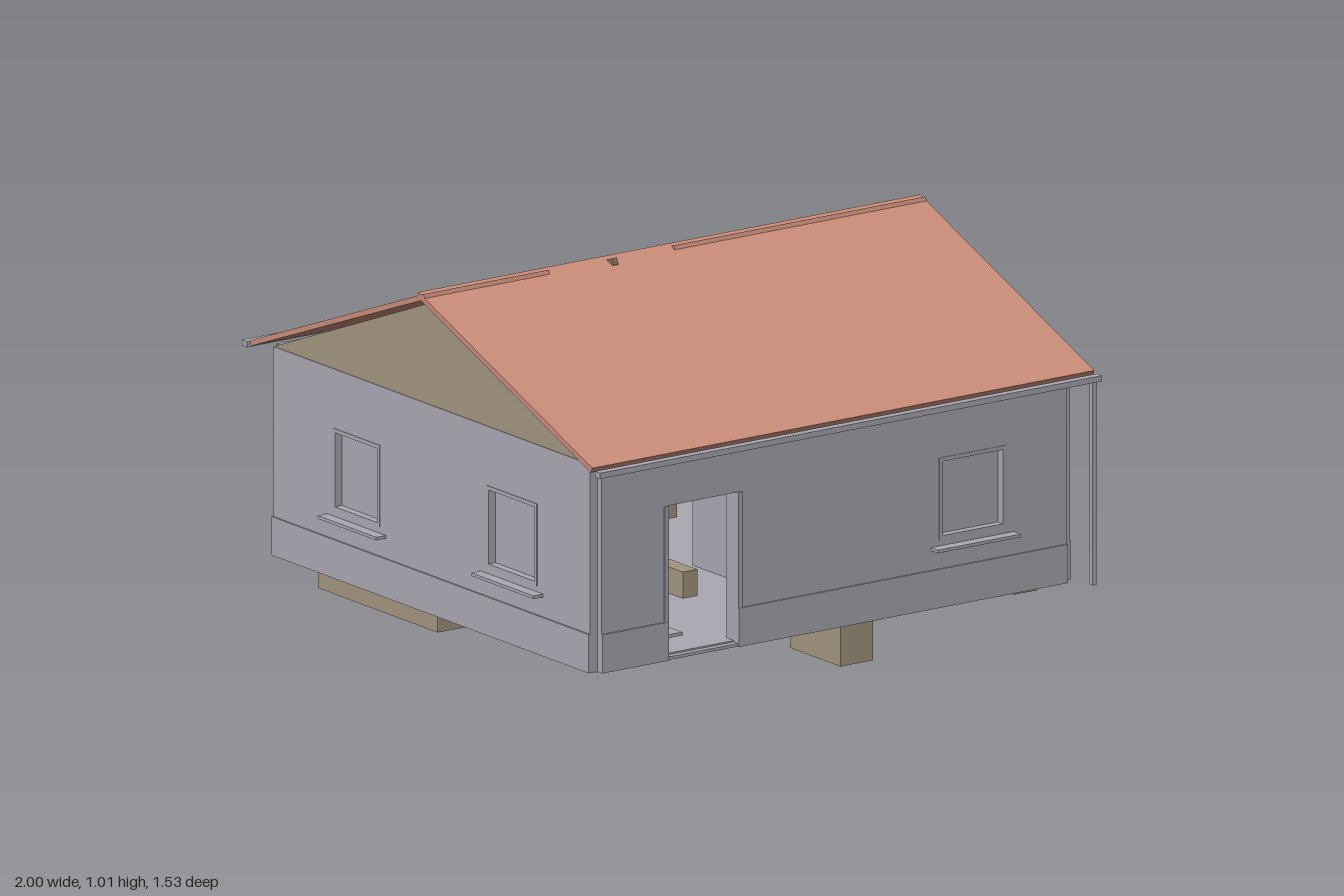
import * as THREE from 'three';

const mat = (name, color, extra = {}) => {
  const m = new THREE.MeshStandardMaterial({ color, ...extra });
  m.name = name;
  return m;
};

export function createModel() {
  const grey = mat('plaster grey', 0xaaa8b1);
  const tile = mat('roof tile', 0xc98d79);
  const beige = mat('beige board', 0xa39680);
  const wood = mat('old wood', 0x86705a);
  const stone = mat('stone', 0xa5a6ae, { flatShading: true });

  const house = new THREE.Group();
  house.name = 'house';

  // Box given by its extents on each axis
  const box = (parent, name, m, x0, x1, y0, y1, z0, z1) => {
    const b = new THREE.Mesh(new THREE.BoxGeometry(x1 - x0, y1 - y0, z1 - z0), m);
    b.position.set((x0 + x1) / 2, (y0 + y1) / 2, (z0 + z1) / 2);
    b.name = name;
    parent.add(b);
    return b;
  };
  // Beam or slab running between two points
  const beam = (name, m, w, h, a, b) => {
    const from = new THREE.Vector3(...a), to = new THREE.Vector3(...b);
    const g = new THREE.Mesh(new THREE.BoxGeometry(w, h, from.distanceTo(to)), m);
    g.position.copy(from).add(to).multiplyScalar(0.5);
    g.lookAt(to);
    g.name = name;
    house.add(g);
  };

  const Y0 = 0.17, Y1 = 0.71, T = 0.05;

  // Window fittings in a wall's local frame (outside is +z)
  function windowParts(wall, { u0, u1, y0, y1, kind }) {
    const f = 0.01;
    for (const [a, b, c, d] of [[u0, u0 + f, y0, y1], [u1 - f, u1, y0, y1], [u0, u1, y0, y0 + f], [u0, u1, y1 - f, y1]])
      box(wall, 'windowFrame', grey, a, b, c, d, -0.03, 0.002);
    if (kind !== 'small') box(wall, 'windowSill', grey, u0 - 0.025, u1 + 0.025, y0 - 0.024, y0 - 0.016, -0.01, 0.03);
    if (kind === 'panel' || kind === 'small') box(wall, 'shutter', grey, u0 + f, u1 - f, y0 + f, y1 - f, -0.03, -0.02);
    if (kind === 'split') {
      const mid = (u0 + u1) / 2;
      box(wall, 'mullion', grey, mid - 0.006, mid + 0.006, y0, y1 - 0.075, -0.025, -0.01);
      box(wall, 'transom', grey, u0, u1, y1 - 0.085, y1 - 0.072, -0.025, -0.01);
      box(wall, 'casement', grey, u0 + f, mid, y0 + f, y1 - f, -0.03, -0.024);
    }
    if (kind === 'bars')
      for (let i = 1; i < 9; i++) {
        const u = u0 + ((u1 - u0) * i) / 9;
        box(wall, 'windowBar', wood, u - 0.003, u + 0.003, y0, y1, -0.012, -0.004);
      }
  }

  // Wall with openings and a slightly proud plinth
  function buildWall(name, u0, u1, x, z, turn, openings) {
    const wall = new THREE.Group();
    wall.name = name;
    const s = new THREE.Shape();
    s.moveTo(u0, Y0).lineTo(u1, Y0).lineTo(u1, Y1).lineTo(u0, Y1).closePath();
    let start = u0;
    for (const o of openings) {
      const h = new THREE.Path();
      const bottom = o.kind === 'door' ? Y0 + 0.008 : o.y0;
      h.moveTo(o.u0, bottom).lineTo(o.u0, o.y1).lineTo(o.u1, o.y1).lineTo(o.u1, bottom).closePath();
      s.holes.push(h);
      if (o.kind === 'door') {
        box(wall, 'plinth', grey, start, o.u0, Y0, 0.27, -0.01, 0.005);
        start = o.u1;
        for (const u of [o.u0 - 0.012, o.u1])
          box(wall, 'doorFrame', grey, u, u + 0.012, Y0, o.y1, -T, 0.004);
      } else windowParts(wall, o);
    }
    box(wall, 'plinth', grey, start, u1, Y0, 0.27, -0.01, 0.005);
    const panel = new THREE.Mesh(new THREE.ExtrudeGeometry(s, { depth: T, bevelEnabled: false }), grey);
    panel.position.z = -T;
    panel.name = 'wallPanel';
    wall.add(panel);
    wall.position.set(x, 0, z);
    wall.rotation.y = turn;
    house.add(wall);
  }
  const win = (u0, u1, kind, y0 = 0.345, y1 = 0.557) => ({ u0, u1, y0, y1, kind });
  buildWall('frontWall', -0.945, 0.488, 0, 0.692, 0, [win(-0.74, -0.525, 'door', Y0, 0.57), win(0.095, 0.3, 'panel')]);
  buildWall('leftWall', -0.675, 0.675, 0.508, 0, Math.PI / 2,
    [win(-0.49, -0.295, 'bars'), win(0, 0.108, 'small', 0.45), win(0.34, 0.54, 'split')]);
  buildWall('backWall', -0.488, 0.945, 0, -0.692, Math.PI, [win(0.1, 0.31, 'door', Y0, 0.57), win(0.53, 0.745, 'split')]);
  buildWall('rightWall', -0.675, 0.675, -0.967, 0, -Math.PI / 2, [win(-0.42, -0.22, 'panel'), win(0.235, 0.45, 'panel')]);

  // Floor, ceiling and inner walls
  box(house, 'floor', grey, -0.95, 0.49, 0.168, 0.182, -0.675, 0.675);
  box(house, 'ceiling', grey, -0.95, 0.49, 0.695, 0.708, -0.685, 0.685);
  box(house, 'partition', grey, -0.1, 0.47, 0.18, 0.7, -0.06, -0.03);
  box(house, 'partition', grey, -0.2, -0.17, 0.18, 0.7, 0.05, 0.66);
  box(house, 'partition', grey, -0.93, -0.66, 0.18, 0.7, -0.02, 0.01);
  box(house, 'backDoorLeaf', beige, -0.112, -0.1, 0.18, 0.565, -0.64, -0.45);

  // Gables
  for (const x of [-0.965, 0.482]) {
    const s = new THREE.Shape();
    s.moveTo(-0.675, 0).lineTo(0.675, 0).lineTo(0, 0.267).closePath();
    const g = new THREE.Mesh(new THREE.ExtrudeGeometry(s, { depth: 0.025, bevelEnabled: false }), beige);
    g.rotation.y = Math.PI / 2;
    g.position.set(x, Y1, 0);
    g.name = 'gable';
    house.add(g);
  }

  // Roof slabs, the back one missing a strip, with a bare rafter in the gap
  for (const [x0, x1, side] of [[-1, 0.545, 1], [-1, -0.615, -1], [-0.23, 0.545, -1]]) {
    const x = (x0 + x1) / 2;
    beam('roofSlab', tile, x1 - x0, 0.014, [x, 0.712, side * 0.727], [x, 1, -side * 0.014]);
  }
  beam('rafter', wood, 0.015, 0.018, [-0.424, 0.717, -0.715], [-0.424, 1.001, 0.03]);

  // Gutters and downpipe
  for (const s of [-1, 1]) box(house, 'gutter', grey, -1, 0.545, 0.698, 0.713, s * 0.752 - 0.011, s * 0.752 + 0.011);
  box(house, 'downpipe', grey, 0.523, 0.536, 0.17, 0.7, 0.739, 0.752);

  // Furniture that sinks through the floor
  const pieces = [
    ['cabinet', beige, -0.07, 0.03, 0, 0.25, -0.55, -0.335],
    ['cabinet', beige, -0.07, 0.03, 0, 0.25, 0.285, 0.5],
    ['fallenDoor', grey, -0.03, 0.088, 0.01, 0.3, -0.055, -0.047],
    ['bench', beige, -0.92, -0.81, 0.105, 0.26, -0.55, -0.04],
    ['chest', grey, -0.92, -0.77, 0.155, 0.28, -0.66, -0.57],
    ['rug', grey, -0.62, -0.48, 0.155, 0.19, 0, 0.19],
    ['bedBase', grey, -0.9, -0.6, 0.16, 0.19, 0.3, 0.56],
    ['shelf', beige, -0.4, -0.355, 0.14, 0.25, 0.14, 0.285],
    ['bedBase', beige, 0.1, 0.43, 0.16, 0.26, 0.21, 0.5],
    ['nightstand', beige, 0.39, 0.46, 0.135, 0.26, 0.525, 0.605],
    ['stool', grey, 0.39, 0.46, 0.155, 0.24, -0.06, 0],
    ['sofaSeat', beige, -0.72, -0.53, 0.182, 0.26, -0.42, -0.3],
    ['sofaBack', grey, -0.64, -0.53, 0.25, 0.32, -0.48, -0.42],
  ];
  for (const p of pieces) box(house, ...p);
  const legs = [[-0.65, -0.27, 0.05], [-0.62, -0.31, 0.05], [-0.45, -0.27, 0.05], [-0.43, -0.31, 0.05],
    [-0.6, -0.17, 0.1], [-0.57, -0.22, 0.05], [-0.53, -0.2, 0.1]];
  for (const [x, z, y] of legs) box(house, 'tableLeg', wood, x - 0.005, x + 0.005, y, 0.25, z - 0.005, z + 0.005);

  // Loose plank and rubble beside the house
  beam('plank', wood, 0.022, 0.014, [0.55, 0.222, -0.205], [0.995, 0.178, -0.342]);
  const rocks = [[0.55, 0.168, 0.01, 0.08, 0.034, 0.06], [0.663, 0.172, 0.035, 0.066, 0.034, 0.074], [0.55, 0.168, -0.215, 0.075, 0.042, 0.073]];
  rocks.forEach(([x, y, z, rx, ry, rz], i) => {
    const geo = new THREE.IcosahedronGeometry(1, 1);
    const p = geo.attributes.position;
    for (let k = 0; k < p.count; k++) {
      const v = new THREE.Vector3().fromBufferAttribute(p, k);
      v.multiplyScalar(0.92 + 0.14 * Math.sin(v.x * 5 + v.y * 7 + v.z * 4 + i * 2));
      p.setXYZ(k, v.x, v.y, v.z);
    }
    geo.computeVertexNormals();
    const rock = new THREE.Mesh(geo, stone);
    rock.scale.set(rx, ry, rz);
    rock.position.set(x, y, z);
    rock.name = 'rock';
    house.add(rock);
  });

  return house;
}
